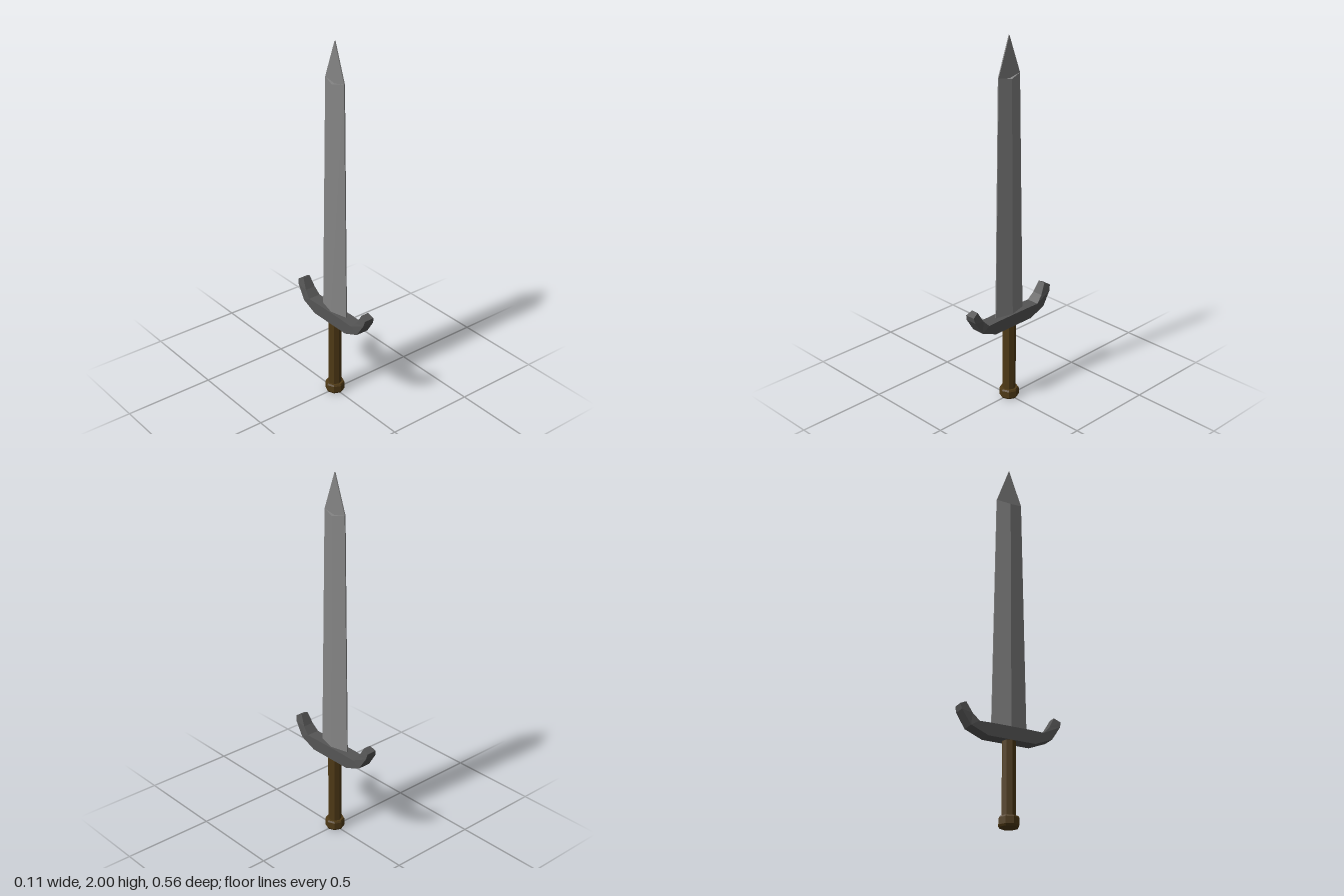
import * as THREE from 'three';

// Skin a stack of equal-sized rings (counter-clockwise seen from the end they advance to), capped at both ends.
function loft(rings) {
  const pos = [];
  const tri = (a, b, c) => pos.push(...a, ...b, ...c);
  const n = rings[0].length;
  for (let i = 0; i < rings.length - 1; i++) {
    const lo = rings[i], hi = rings[i + 1];
    for (let j = 0; j < n; j++) {
      const k = (j + 1) % n;
      tri(lo[j], lo[k], hi[k]);
      tri(lo[j], hi[k], hi[j]);
    }
  }
  const first = rings[0], last = rings[rings.length - 1];
  for (let j = 1; j < n - 1; j++) {
    tri(first[0], first[j + 1], first[j]);
    tri(last[0], last[j], last[j + 1]);
  }
  const geo = new THREE.BufferGeometry();
  geo.setAttribute('position', new THREE.Float32BufferAttribute(pos, 3));
  geo.computeVertexNormals();
  return geo;
}

export function createModel() {
  const group = new THREE.Group();
  const steel = new THREE.MeshStandardMaterial({ color: 0x858585, flatShading: true });
  const darkSteel = new THREE.MeshStandardMaterial({ color: 0x555555, flatShading: true });
  const wood = new THREE.MeshStandardMaterial({ color: 0x4f3a16, flatShading: true });

  const add = (name, geo, material) => {
    const mesh = new THREE.Mesh(geo, material);
    mesh.name = name;
    group.add(mesh);
    return mesh;
  };

  // Blade: tapering diamond section with thin blunt edges
  const e = 0.003;
  const bladeRing = (yRidge, yEdge, t, w) => [
    [t, yRidge, 0], [e, yEdge, -w], [-e, yEdge, -w],
    [-t, yRidge, 0], [-e, yEdge, w], [e, yEdge, w],
  ];
  add('blade', loft([
    bladeRing(0.48, 0.48, 0.028, 0.098),
    bladeRing(1.785, 1.8, 0.021, 0.073),
  ]), steel);

  // Point: thin flat triangle rising from the end of the blade
  const tipRing = (y, w) => [[e, y, w], [e, y, -w], [-e, y, -w], [-e, y, w]];
  add('bladeTip', loft([
    tipRing(1.78, 0.073), tipRing(1.8, 0.073), tipRing(2, 0.0005),
  ]), steel);

  // Crossguard: arms curving up, narrowing at the ends; mirrored about z = 0
  const arm = [
    // outer z, outer y, outer half width, inner z, inner y, inner half width
    [0.13, 0.436, 0.036, 0.1, 0.505, 0.036],
    [0.225, 0.475, 0.036, 0.178, 0.503, 0.036],
    [0.274, 0.55, 0.033, 0.214, 0.54, 0.03],
    [0.281, 0.58, 0.028, 0.246, 0.598, 0.021],
  ];
  const guardRing = ([oz, oy, ow, iz, iy, iw], s) => [
    [-ow, oy, s * oz], [ow, oy, s * oz], [iw, iy, s * iz], [-iw, iy, s * iz],
  ];
  add('crossguard', loft([
    ...[...arm].reverse().map((p) => guardRing(p, -1)),
    ...arm.map((p) => guardRing(p, 1)),
  ]), darkSteel);

  // Grip
  const grip = add('grip', new THREE.CylinderGeometry(0.036, 0.036, 0.4, 8), wood);
  grip.position.y = 0.245;

  // Pommel: eight-sided cap with bevelled rims
  const profile = [[0, 0], [0.047, 0], [0.053, 0.01], [0.053, 0.045], [0.048, 0.054], [0, 0.054]];
  add('pommel', new THREE.LatheGeometry(profile.map(([r, y]) => new THREE.Vector2(r, y)), 8), wood);

  return group;
}
